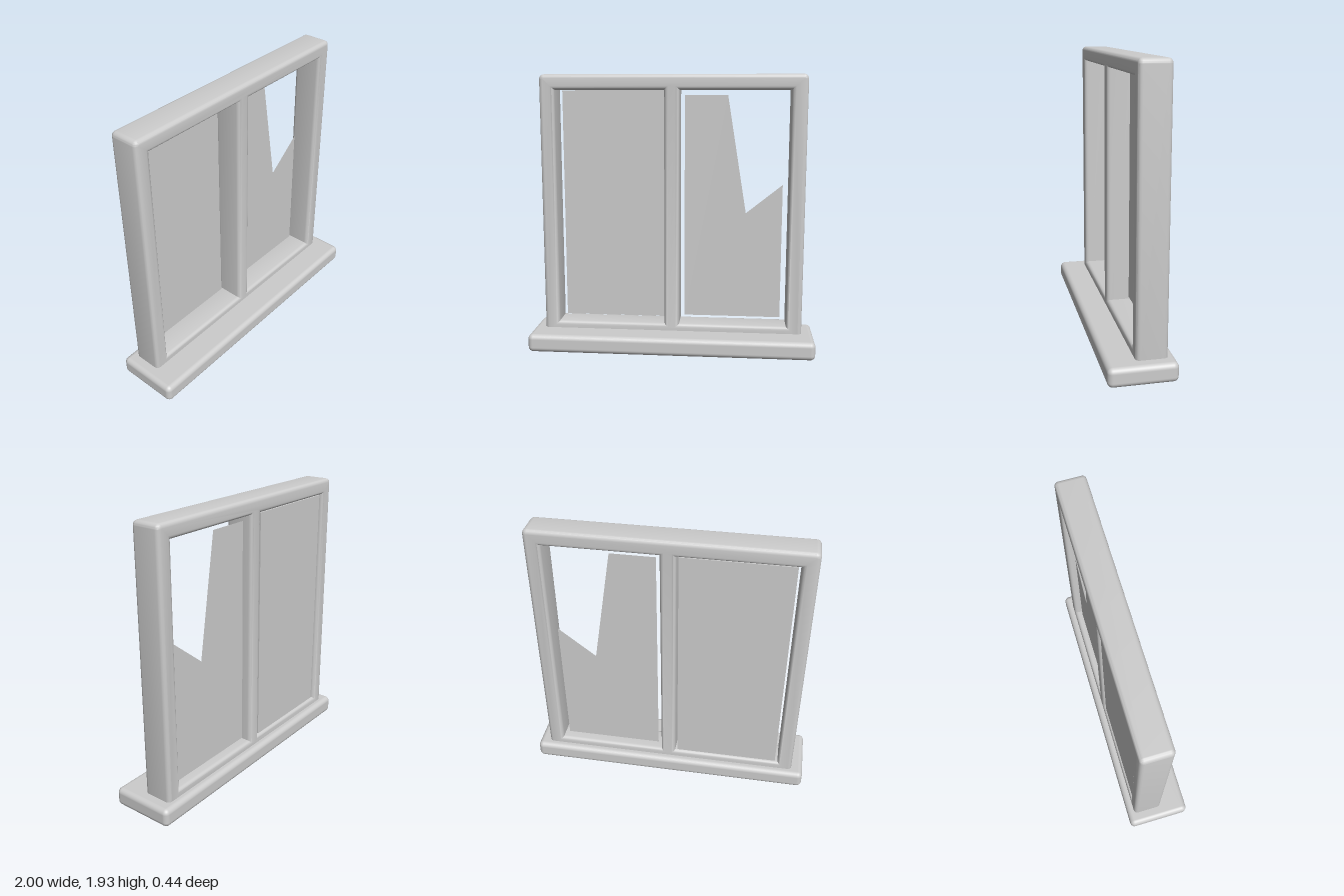
import * as THREE from 'three';
import { toCreasedNormals } from 'three/addons/utils/BufferGeometryUtils.js';
import { RoundedBoxGeometry } from 'three/addons/geometries/RoundedBoxGeometry.js';

const grey = new THREE.MeshStandardMaterial({ color: 0xcccccc, side: THREE.DoubleSide });
grey.name = 'light grey';

function addMesh(group, name, geometry, x = 0, y = 0, z = 0) {
  const mesh = new THREE.Mesh(geometry, grey);
  mesh.name = name;
  mesh.position.set(x, y, z);
  group.add(mesh);
}

// Closed outline through a few corner points
function outline(points, Type = THREE.Shape) {
  return new Type(points.map(([x, y]) => new THREE.Vector2(x, y)));
}

// Rectangle with slightly rounded corners
function roundedRect(x0, y0, x1, y1, r) {
  const s = new THREE.Shape();
  s.absarc(x1 - r, y1 - r, r, 0, Math.PI / 2);
  s.absarc(x0 + r, y1 - r, r, Math.PI / 2, Math.PI);
  s.absarc(x0 + r, y0 + r, r, Math.PI, Math.PI * 1.5);
  s.absarc(x1 - r, y0 + r, r, Math.PI * 1.5, Math.PI * 2);
  s.closePath();
  return s;
}

export function createModel() {
  const group = new THREE.Group();
  group.name = 'window';

  // Sill
  addMesh(group, 'sill', new RoundedBoxGeometry(2, 0.127, 0.444, 4, 0.035), 0, 0.0635, 0);

  // Frame with two openings and rounded edges
  const front = 0.033, back = -0.172, bevel = 0.027;
  const shape = roundedRect(-0.917, 0.06, 0.917, 1.928, 0.032);
  for (const [x0, x1] of [[-0.812, -0.052], [0.052, 0.808]]) {
    shape.holes.push(outline([[x0, 0.175], [x0, 1.823], [x1, 1.823], [x1, 0.175]], THREE.Path));
  }
  const frame = new THREE.ExtrudeGeometry(shape, {
    depth: front - back - 2 * bevel, curveSegments: 4,
    bevelEnabled: true, bevelThickness: bevel, bevelSize: bevel, bevelOffset: -bevel, bevelSegments: 4,
  });
  addMesh(group, 'frame', toCreasedNormals(frame, 0.7), 0, 0, back + bevel);

  // Whole pane, set near the back
  addMesh(group, 'wholePane', new THREE.BoxGeometry(0.725, 1.64, 0.02), -0.43, 1, -0.146);

  // Broken pane with a jagged gap in its upper corner
  const broken = outline([[0.08, 0.2], [0.77, 0.2], [0.77, 1.165], [0.515, 0.96], [0.38, 1.787], [0.08, 1.787]]);
  addMesh(group, 'brokenPane', new THREE.ShapeGeometry(broken), 0, 0, -0.12);

  return group;
}
